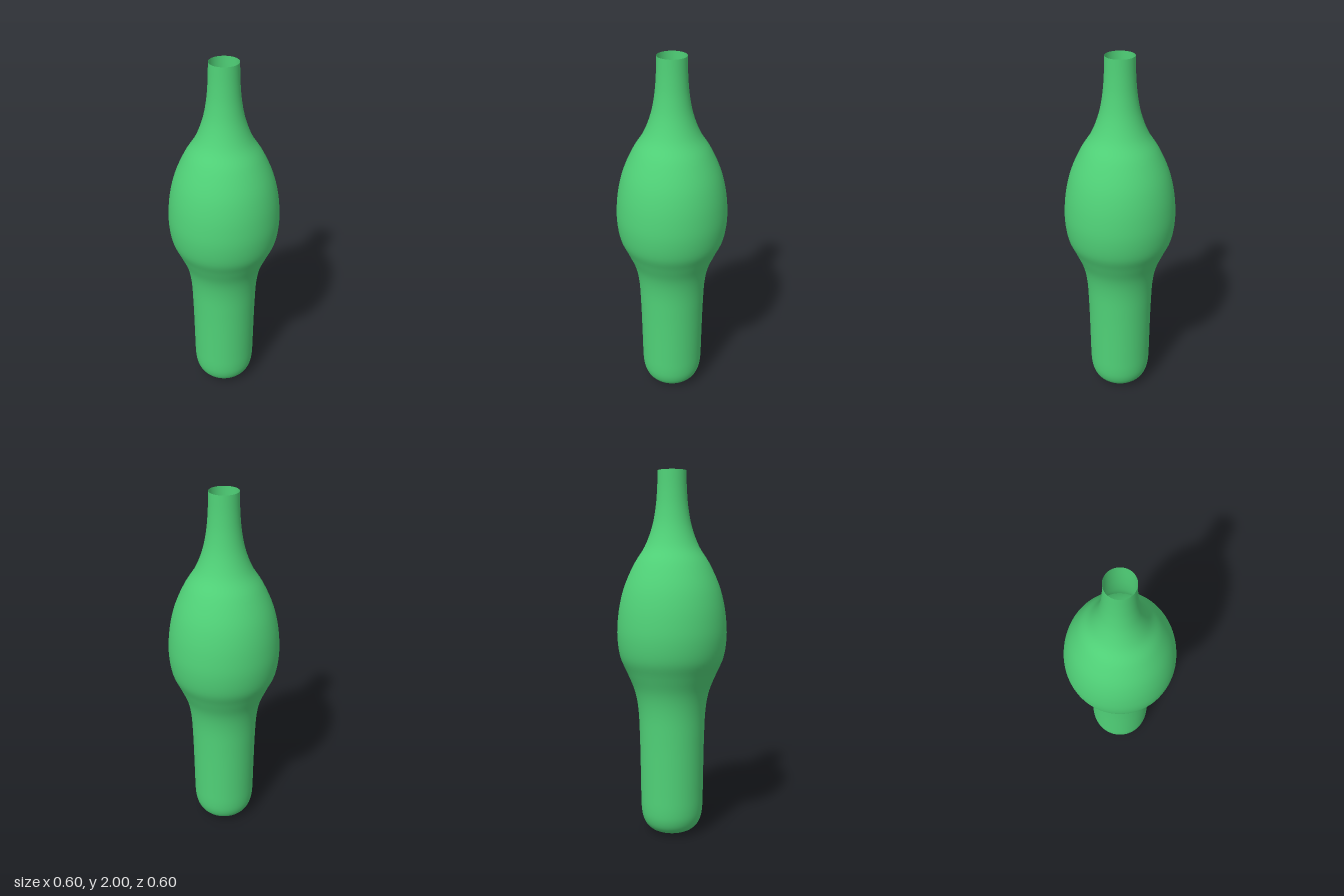
import * as THREE from 'three';

export function createModel() {
  const model = new THREE.Group();
  const green = new THREE.MeshStandardMaterial({ color: 0x50d278, side: THREE.DoubleSide });
  green.name = 'green glaze';

  // Profile as [radius, height], from the base centre up to the open rim
  const profile = [
    [0, 0], [0.06, 0.003], [0.11, 0.016], [0.145, 0.045], [0.165, 0.09], [0.173, 0.15],
    [0.175, 0.25], [0.177, 0.4], [0.18, 0.55], [0.187, 0.7], [0.207, 0.81], [0.247, 0.91],
    [0.285, 1.0], [0.3, 1.11], [0.295, 1.22], [0.278, 1.32], [0.25, 1.41], [0.203, 1.51],
    [0.147, 1.6], [0.109, 1.7], [0.089, 1.8], [0.08, 1.9], [0.077, 2],
  ].map(([r, y]) => new THREE.Vector2(r, y));
  const points = new THREE.SplineCurve(profile).getPoints(110);
  points.forEach((p) => { p.x = Math.max(p.x, 0); });

  // Thin-walled bottle body, open at the neck
  const bottle = new THREE.Mesh(new THREE.LatheGeometry(points, 96), green);
  bottle.name = 'bottle';
  model.add(bottle);
  return model;
}
